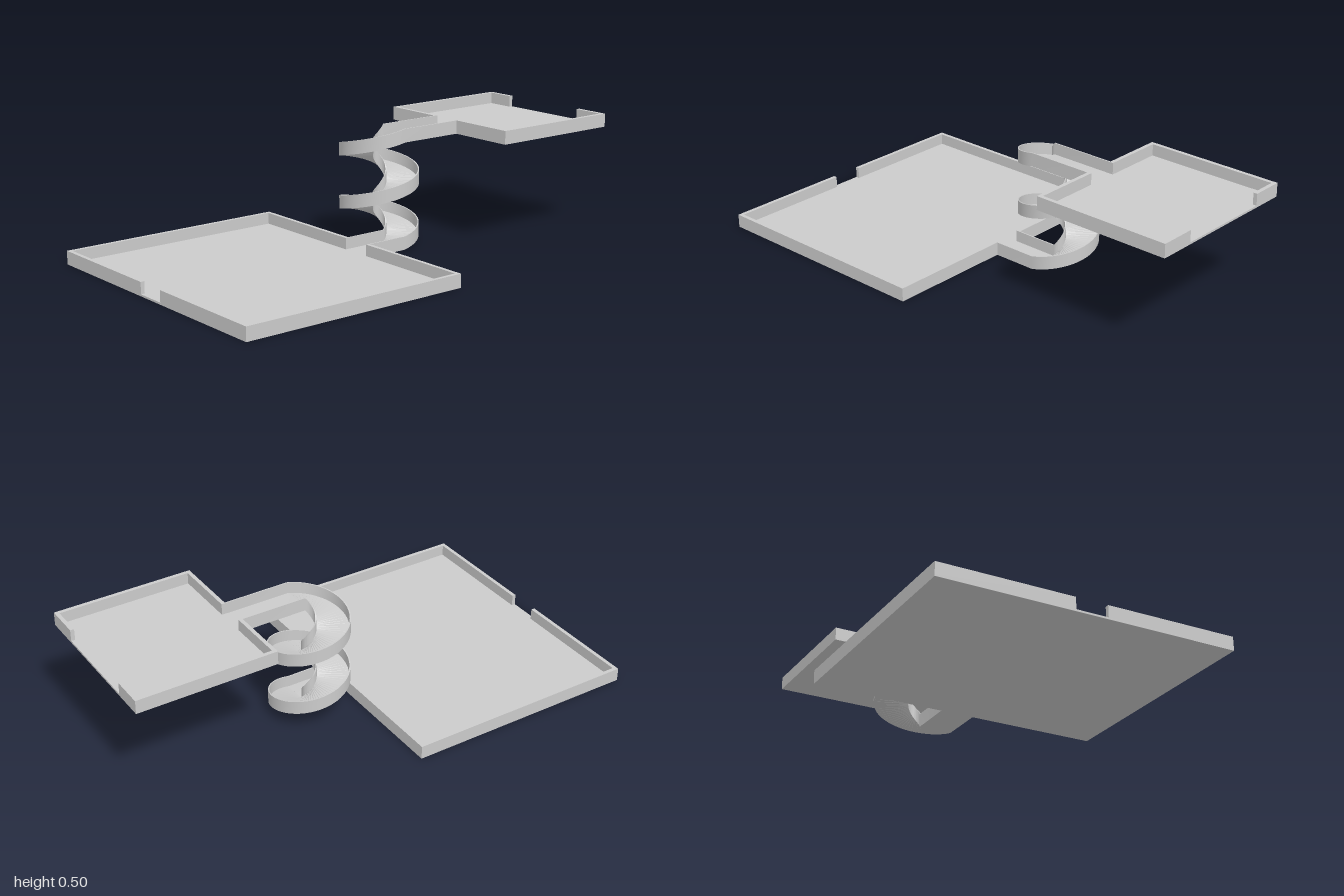
import * as THREE from 'three';
import { toCreasedNormals } from 'three/addons/utils/BufferGeometryUtils.js';

const FLOOR = 0.008;   // floor thickness
const HEIGHT = 0.055;  // wall height including floor
const RISE = 0.44;     // level of the upper tray
const CX = 0.152, CZ = -0.089;            // spiral axis
const INNER = 0.025, OUTER = 0.162, RAIL = 0.005;
const TURNS = 2, STEPS = 128;

const material = new THREE.MeshStandardMaterial({ color: 0xcccccc, side: THREE.DoubleSide });

function box(name, x0, x1, y0, y1, z0, z1) {
  const mesh = new THREE.Mesh(new THREE.BoxGeometry(x1 - x0, y1 - y0, z1 - z0), material);
  mesh.name = name;
  mesh.position.set((x0 + x1) / 2, (y0 + y1) / 2, (z0 + z1) / 2);
  return mesh;
}

// Open tray whose left and right walls each have a doorway [z0, z1]
function tray(name, x0, x1, z0, z1, y, rightGap, leftGap) {
  const group = new THREE.Group();
  group.name = name;
  const t = 0.016, low = FLOOR, top = HEIGHT;
  group.add(
    box('floor', x0, x1, 0, low, z0, z1),
    box('backWall', x0, x1, low, top, z0, z0 + t),
    box('frontWall', x0, x1, low, top, z1 - t, z1)
  );
  for (const [side, x, gap] of [['right', x0, rightGap], ['left', x1 - t, leftGap]]) {
    group.add(
      box(side + 'WallBack', x, x + t, low, top, z0 + t, gap[0]),
      box(side + 'WallFront', x, x + t, low, top, gap[1], z1 - t)
    );
  }
  group.position.y = y;
  return group;
}

// U-shaped channel swept along a straight, a rising spiral and another straight
function walkway(xStart, xEnd) {
  const section = [
    [INNER, 0], [OUTER, 0], [OUTER, HEIGHT], [OUTER - RAIL, HEIGHT],
    [OUTER - RAIL, FLOOR], [INNER + RAIL, FLOOR], [INNER + RAIL, HEIGHT], [INNER, HEIGHT]
  ];
  const n = section.length;
  const positions = [], index = [];
  const addRow = (shift, angle, y) => {
    for (const [r, h] of section) {
      positions.push(CX + shift + r * Math.sin(angle), y + h, CZ + r * Math.cos(angle));
    }
  };
  addRow(xStart - CX, 0, 0);
  for (let i = 0; i <= STEPS; i++) {
    addRow(0, (i / STEPS) * TURNS * Math.PI * 2, (i / STEPS) * RISE);
  }
  addRow(xEnd - CX, 0, RISE);
  for (let i = 0; i < STEPS + 2; i++) {
    for (let j = 0; j < n; j++) {
      const a = i * n + j, b = i * n + (j + 1) % n;
      index.push(a, a + n, b + n, a, b + n, b);
    }
  }
  const geometry = new THREE.BufferGeometry();
  geometry.setAttribute('position', new THREE.Float32BufferAttribute(positions, 3));
  geometry.setIndex(index);
  const mesh = new THREE.Mesh(toCreasedNormals(geometry, 0.6), material);
  mesh.name = 'spiralRamp';
  return mesh;
}

export function createModel() {
  const model = new THREE.Group();
  model.name = 'spiralRampWithTrays';
  const door = [CZ + INNER + RAIL, CZ + OUTER - RAIL];
  model.add(
    tray('lowerTray', -1, -0.03, -0.6, 0.6, 0, [-0.06, 0.07], door),
    tray('upperTray', 0.425, 1, -0.32, 0.355, RISE, door, [-0.19, 0.21]),
    walkway(-0.03, 0.425)
  );
  return model;
}
